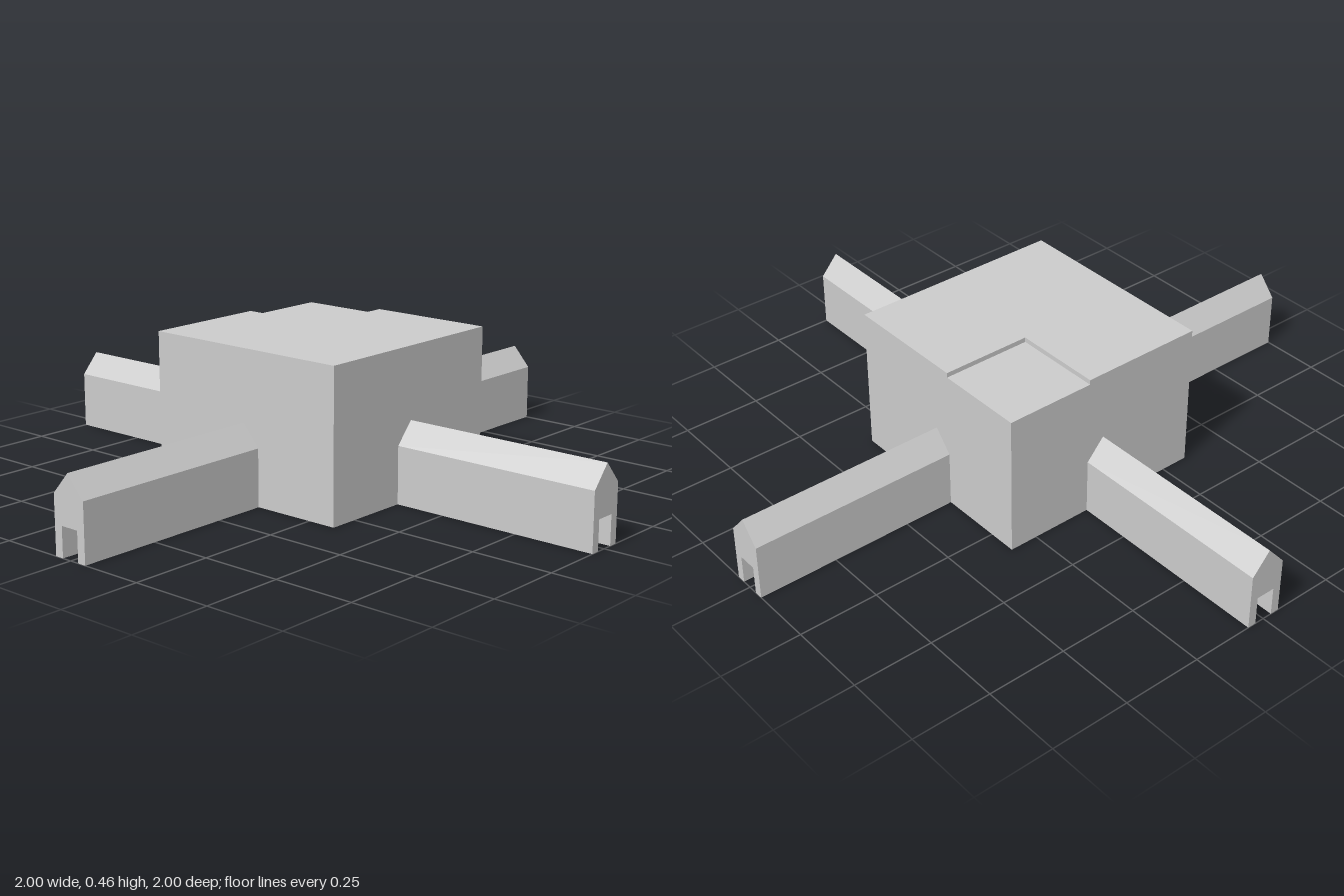
import * as THREE from 'three';

const HALF = 0.34;   // half width of the hall
const WALL = 0.02;   // wall thickness
const material = new THREE.MeshStandardMaterial({ color: 0xcccccc, flatShading: true });

function add(parent, name, geometry, x = 0, y = 0, z = 0) {
  const mesh = new THREE.Mesh(geometry, material);
  mesh.name = name;
  mesh.position.set(x, y, z);
  parent.add(mesh);
  return mesh;
}

const box = (parent, name, w, h, d, x, y, z) =>
  add(parent, name, new THREE.BoxGeometry(w, h, d), x, y, z);

function extrude(points, depth) {
  const shape = new THREE.Shape(points.map(([x, y]) => new THREE.Vector2(x, y)));
  return new THREE.ExtrudeGeometry(shape, { depth, bevelEnabled: false });
}

// Gabled passage with an open channel along its underside
function passageGeometry() {
  return extrude([
    [-0.057, 0], [-0.03, 0], [-0.03, 0.09], [0.03, 0.09], [0.03, 0],
    [0.057, 0], [0.057, 0.175], [0, 0.24], [-0.057, 0.175],
  ], 1 - HALF);
}

// Hall wall with a doorway in its middle
function wallGeometry(halfWidth) {
  return extrude([
    [-halfWidth, 0], [-0.03, 0], [-0.03, 0.075], [0.03, 0.075], [0.03, 0],
    [halfWidth, 0], [halfWidth, 0.43], [-halfWidth, 0.43],
  ], WALL);
}

// Slim post-and-lintel frame standing in the xy plane
function frame(parent, name, width, height, x, z, turn) {
  const group = new THREE.Group();
  group.name = name;
  group.position.set(x, 0, z);
  group.rotation.y = turn;
  for (const side of [-1, 1]) {
    box(group, 'framePost', 0.012, height, 0.012, side * width / 2, height / 2, 0);
  }
  box(group, 'frameLintel', width + 0.012, 0.012, 0.012, 0, height, 0);
  parent.add(group);
}

export function createModel() {
  const model = new THREE.Group();
  model.name = 'crossHall';

  // Four walls and passages around the hall
  for (let i = 0; i < 4; i++) {
    const side = new THREE.Group();
    side.name = 'wing' + (i + 1);
    side.rotation.y = i * Math.PI / 2;
    add(side, 'hallWall', wallGeometry(i % 2 ? HALF - WALL : HALF), 0, 0, HALF - WALL);
    add(side, 'passage', passageGeometry(), 0, 0, HALF);
    frame(side, 'doorFrame', 0.085, 0.11, 0, HALF - WALL - 0.006, 0);
    model.add(side);
  }

  // Roof slab, with a raised layer that leaves the back left corner lower
  box(model, 'roofSlab', 2 * HALF, 0.015, 2 * HALF, 0, 0.4375, 0);
  const raised = extrude([
    [-HALF, -HALF], [HALF, -HALF], [HALF, 0.057],
    [0.055, 0.057], [0.055, HALF], [-HALF, HALF],
  ], 0.015);
  raised.rotateX(-Math.PI / 2);
  add(model, 'raisedRoof', raised, 0, 0.445, 0);

  // Central column with slanting braces
  add(model, 'centralColumn', new THREE.CylinderGeometry(0.012, 0.018, 0.16, 8), 0, 0.08, 0);
  for (let i = 0; i < 4; i++) {
    const arm = new THREE.Group();
    arm.name = 'columnBrace';
    arm.rotation.y = i * Math.PI / 2 + Math.PI / 4;
    box(arm, 'brace', 0.01, 0.08, 0.01, 0.03, 0.13, 0).rotation.z = -0.7;
    model.add(arm);
  }

  // Slim frames and pedestals in the corners of the hall
  for (const sx of [-1, 1]) {
    for (const sz of [-1, 1]) {
      frame(model, 'cornerFrame', 0.1, 0.13, sx * 0.17, sz * 0.1, 0);
      frame(model, 'cornerFrame', 0.1, 0.13, sx * 0.1, sz * 0.17, Math.PI / 2);
      if (sx === sz) {
        box(model, 'pedestalBase', 0.1, 0.012, 0.1, sx * 0.22, 0.006, sz * 0.2);
        add(model, 'pedestal', new THREE.CylinderGeometry(0.01, 0.03, 0.09, 8),
          sx * 0.22, 0.057, sz * 0.2);
      }
    }
  }
  return model;
}
